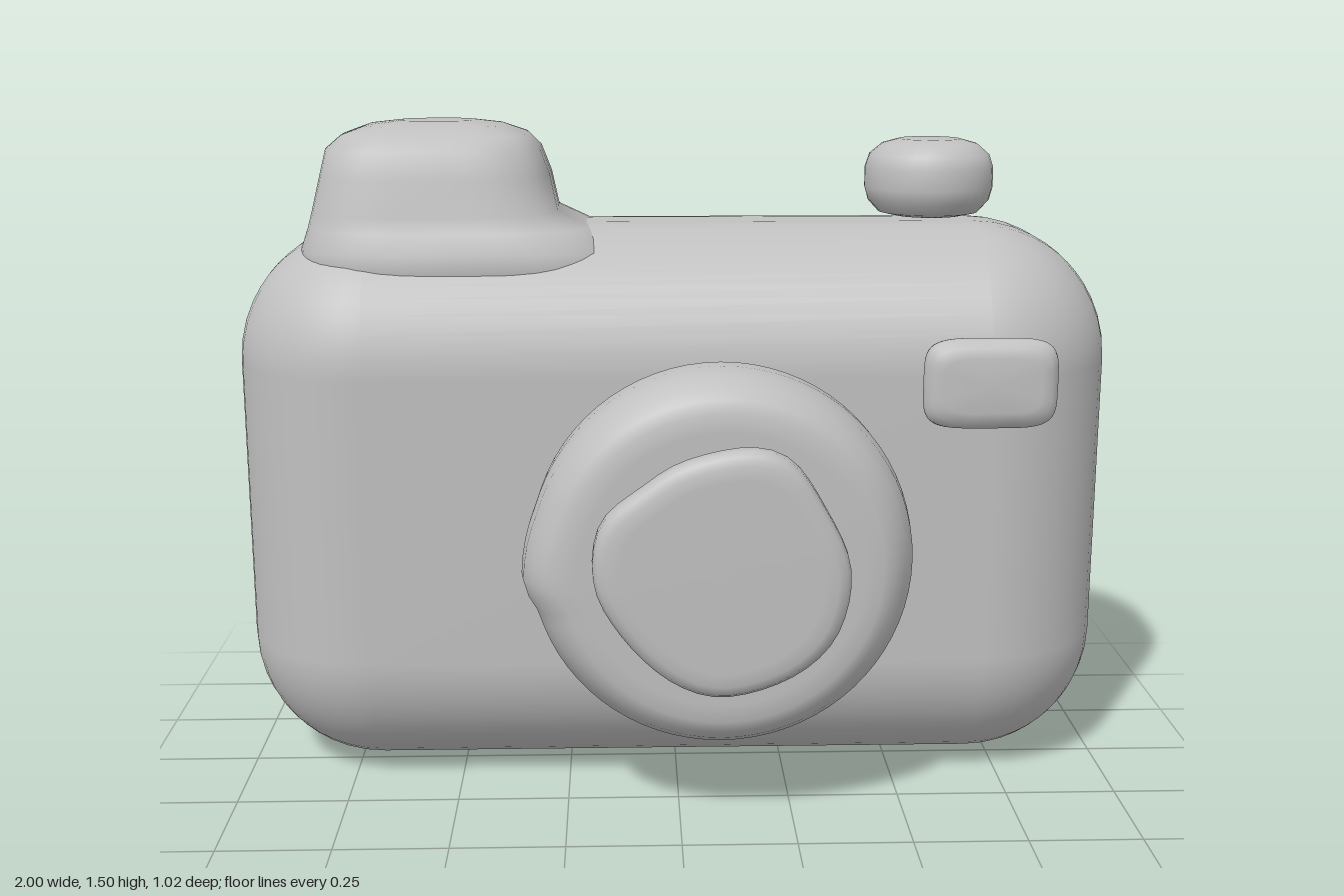
import * as THREE from 'three';
import { RoundedBoxGeometry } from 'three/addons/geometries/RoundedBoxGeometry.js';

// Closed superellipse outline, half size 1, counter-clockwise; power 2 is a circle
function superellipse(power, count = 48) {
  const f = (v) => Math.sign(v) * Math.abs(v) ** (2 / power);
  return Array.from({ length: count }, (_, i) => {
    const a = (i / count) * Math.PI * 2;
    return [f(Math.cos(a)), f(Math.sin(a))];
  });
}

// Stacks scaled outlines along +z and closes both ends.
// Each row is [z, scaleX, scaleY, centreX, centreY].
function loft(outline, rows) {
  const n = outline.length, pos = [], index = [];
  for (const [z, sx, sy, cx = 0, cy = 0] of rows) {
    for (const [x, y] of outline) pos.push(cx + x * sx, cy + y * sy, z);
  }
  for (let i = 0; i < rows.length - 1; i++) {
    for (let j = 0; j < n; j++) {
      const a = i * n + j, b = i * n + ((j + 1) % n);
      index.push(a, b, b + n, a, b + n, a + n);
    }
  }
  const last = rows.length - 1, base = pos.length / 3;
  for (const k of [0, last]) pos.push(rows[k][3] ?? 0, rows[k][4] ?? 0, rows[k][0]);
  for (let j = 0; j < n; j++) {
    const k = (j + 1) % n;
    index.push(base, k, j, base + 1, last * n + j, last * n + k);
  }
  const g = new THREE.BufferGeometry();
  g.setAttribute('position', new THREE.Float32BufferAttribute(pos, 3));
  g.setIndex(index);
  g.computeVertexNormals();
  return g;
}

export function createModel() {
  const group = new THREE.Group();
  const grey = new THREE.MeshStandardMaterial({ color: 0xc0c0c0 });
  grey.name = 'light grey';
  const add = (name, geometry, x = 0, y = 0, z = 0) => {
    const mesh = new THREE.Mesh(geometry, grey);
    mesh.name = name;
    mesh.position.set(x, y, z);
    group.add(mesh);
    return mesh;
  };

  // Soft rounded body
  add('body', new RoundedBoxGeometry(2, 1.27, 0.72, 6, 0.31), 0, 0.635, -0.15);

  // Raised hump flaring into the body: height, left edge, right edge, half depth
  const hump = [
    [1.1, -0.86, -0.1, 0.28], [1.22, -0.85, -0.12, 0.262], [1.265, -0.835, -0.19, 0.238],
    [1.3, -0.825, -0.265, 0.227], [1.38, -0.805, -0.282, 0.212], [1.44, -0.79, -0.305, 0.195],
    [1.47, -0.755, -0.335, 0.17], [1.49, -0.7, -0.39, 0.125], [1.5, -0.62, -0.46, 0.06],
  ].map(([y, l, r, d]) => [y, (r - l) / 2, d, (l + r) / 2, 0.147]);
  add('viewfinderHump', loft(superellipse(3.6), hump)).rotation.x = -Math.PI / 2;

  // Shutter button, a puffy round cushion
  const button = [
    [1.28, 0.08], [1.288, 0.115], [1.315, 0.14], [1.345, 0.148], [1.39, 0.148],
    [1.42, 0.138], [1.444, 0.11], [1.455, 0.07],
  ].map(([y, r]) => [y, r, r]);
  add('shutterButton', loft(superellipse(2, 32), button), 0.592, 0, -0.147).rotation.x = -Math.PI / 2;

  // Lens barrel with a small ridge on one side
  const barrelOutline = superellipse(2, 72).map(([x, y]) => {
    const a = Math.atan2(y, -x);
    const t = a > -0.12 ? Math.max(0, 1 - (a + 0.12) / 0.4) : Math.max(0, 1 - (-0.12 - a) / 0.15);
    const s = 1 + 0.05 * t;
    return [x * s, y * s];
  });
  const barrel = [
    [0.15, 0.39], [0.2, 0.404], [0.25, 0.414], [0.31, 0.416], [0.365, 0.41],
    [0.4, 0.39], [0.425, 0.367], [0.438, 0.34], [0.44, 0.3],
  ].map(([z, r]) => [z, r, r]);
  add('lensBarrel', loft(barrelOutline, barrel), 0.09, 0.595, 0);

  // Hand-shaped front lens
  const lensCurve = new THREE.CatmullRomCurve3([
    [0.27, 0.01], [0.215, 0.14], [0.14, 0.245], [0.065, 0.27], [-0.085, 0.24], [-0.165, 0.19],
    [-0.255, 0.11], [-0.27, -0.02], [-0.215, -0.13], [-0.115, -0.23], [-0.025, -0.268],
    [0.065, -0.26], [0.175, -0.21], [0.245, -0.13],
  ].map(([x, y]) => new THREE.Vector3(x, y, 0)), true);
  const lensOutline = lensCurve.getSpacedPoints(48).slice(0, 48).map((p) => [p.x, p.y]);
  const lens = [
    [0.42, 0.9], [0.44, 0.96], [0.46, 1], [0.485, 0.995], [0.5, 0.96], [0.508, 0.89], [0.51, 0.78],
  ].map(([z, s]) => [z, s, s]);
  add('frontLens', loft(lensOutline, lens), 0.085, 0.6, 0);

  // Flash window, a small cushion on the front
  const flash = [
    [0.2, 0.03], [0.21, 0.013], [0.228, 0.003], [0.245, 0], [0.26, 0.003], [0.274, 0.018], [0.281, 0.04],
  ].map(([z, inset]) => [z, 0.147 - inset, 0.1 - inset]);
  add('flashWindow', loft(superellipse(4.5), flash), 0.678, 0.957, 0);

  return group;
}
